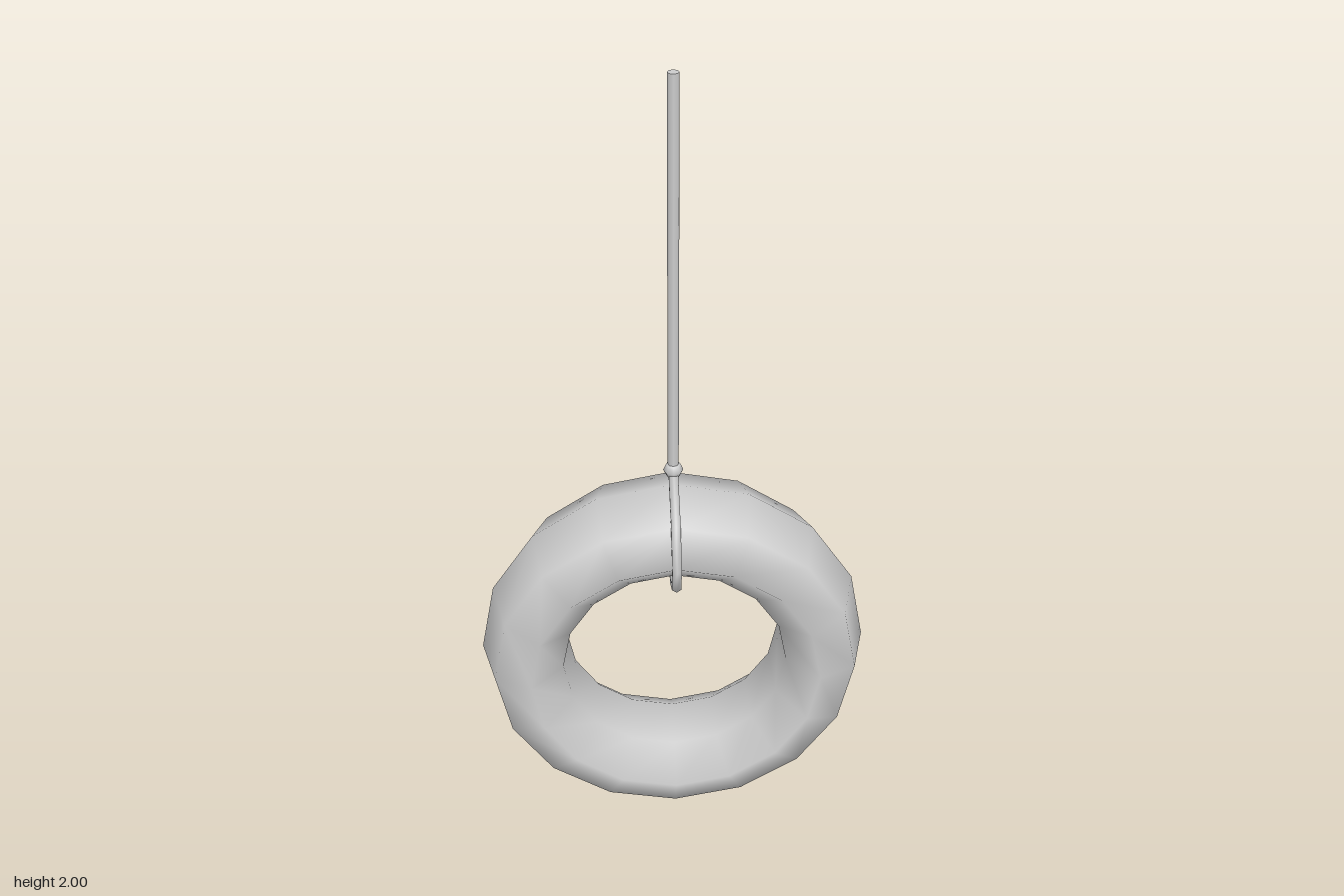
import * as THREE from 'three';

const TIRE_Y = 0.487;

// Polygonal path whose tube rings sit exactly on the given corners
class CornerLoop extends THREE.Curve {
  constructor(points) {
    super();
    this.points = points;
  }
  at(i) {
    const n = this.points.length;
    return this.points[((i % n) + n) % n];
  }
  getPoint(t, target = new THREE.Vector3()) {
    return target.copy(this.at(Math.round(t * this.points.length)));
  }
  getPointAt(u, target) {
    return this.getPoint(u, target);
  }
  getTangentAt(u, target = new THREE.Vector3()) {
    const i = Math.round(u * this.points.length);
    const before = this.at(i).clone().sub(this.at(i - 1)).normalize();
    const after = this.at(i + 1).clone().sub(this.at(i)).normalize();
    return target.copy(before).add(after).normalize();
  }
}

// Ring with a seven-sided elliptical section, slightly turned about its core
function tireGeometry() {
  const core = 0.376, a = 0.11, b = 0.16, turn = -0.07;
  const geo = new THREE.TorusGeometry(core, a, 7, 16);
  const { position, normal, uv } = geo.attributes;
  const n = new THREE.Vector3();
  for (let i = 0; i < position.count; i++) {
    const ring = uv.getX(i) * Math.PI * 2;
    const tube = uv.getY(i) * Math.PI * 2 + turn;
    const r = core + a * Math.cos(tube);
    position.setXYZ(i, r * Math.cos(ring), r * Math.sin(ring), b * Math.sin(tube));
    const out = Math.cos(tube) / a;
    n.set(out * Math.cos(ring), out * Math.sin(ring), Math.sin(tube) / b).normalize();
    normal.setXYZ(i, n.x, n.y, n.z);
  }
  return geo;
}

export function createModel() {
  const group = new THREE.Group();
  const material = new THREE.MeshStandardMaterial({ color: 0xcccccc });
  const add = (name, geo, y = 0) => {
    const mesh = new THREE.Mesh(geo, material);
    mesh.name = name;
    mesh.position.y = y;
    group.add(mesh);
    return mesh;
  };

  add('tire', tireGeometry(), TIRE_Y);

  // Hanging rope
  add('rope', new THREE.CylinderGeometry(0.013, 0.013, 0.98, 8), 1.51);

  // Rope loop round the top of the tire, mirrored front to back
  const half = [[0.12, 0.94], [0.171, 0.853], [0.147, 0.785], [0.075, 0.747]];
  const side = (s) => half.map(([z, y]) => new THREE.Vector3(0, y, s * z));
  const corners = [
    new THREE.Vector3(0, 1.018, 0), ...side(1),
    new THREE.Vector3(0, 0.743, 0), ...side(-1).reverse(),
  ];
  add('ropeLoop', new THREE.TubeGeometry(new CornerLoop(corners), corners.length, 0.013, 6, true));

  // Knot joining rope and loop
  const knot = add('knot', new THREE.SphereGeometry(0.024, 8, 4), 1.025);
  knot.scale.y = 0.9;

  return group;
}
